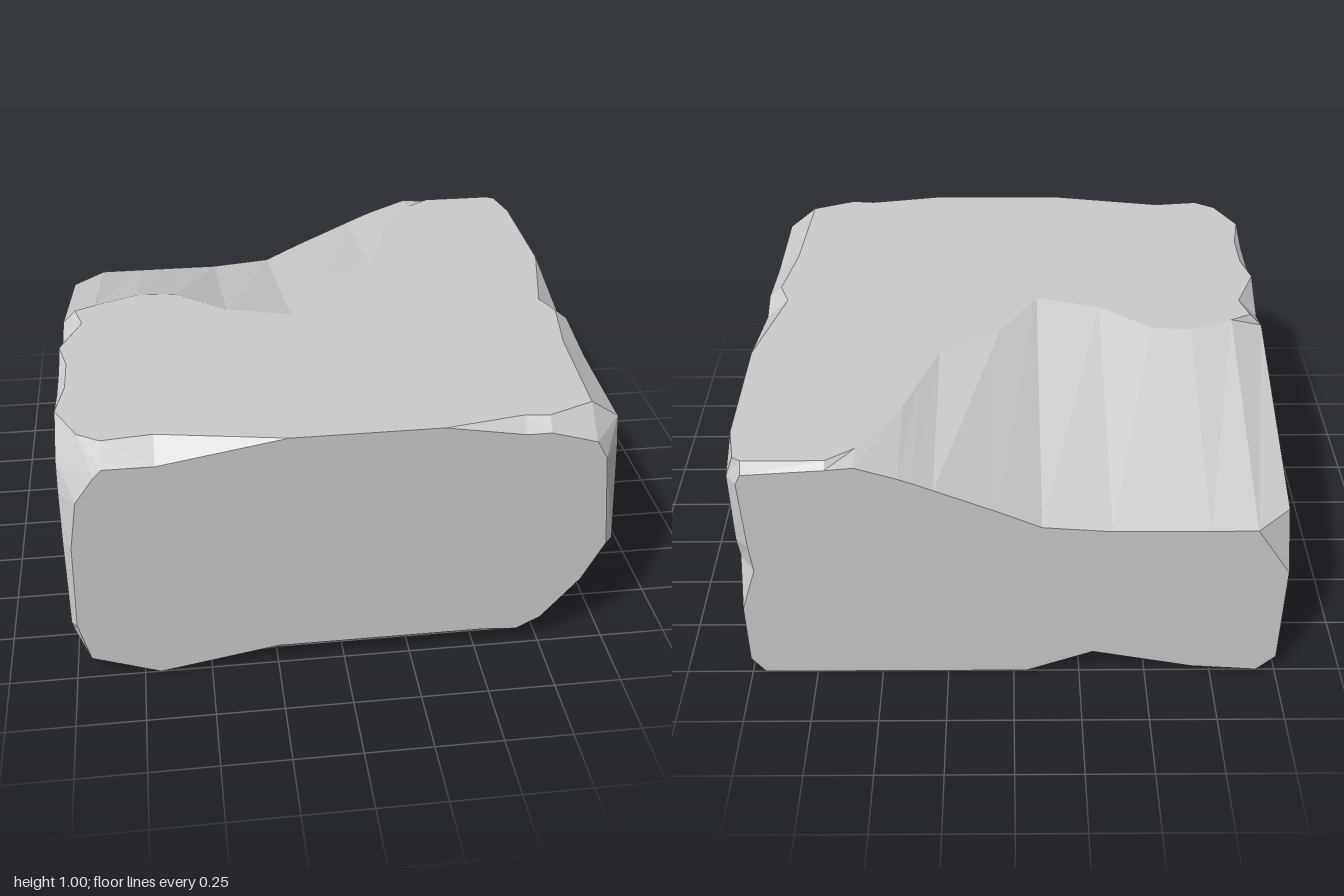
import * as THREE from 'three';

// The block is a 2 x 1 x 2 box whose twelve edges are chipped away unevenly.
const LO = [-1, 0, -1], HI = [1, 1, 1];

// Each edge joins two faces, named by axis and side (x0 = low x, x1 = high x).
// Sample: [position along edge, inset on first face, inset on second face,
//          position on second face if it differs].
const EDGES = {
  // edges along x
  y0z0: [[-.93, 0, 0], [-.68, .02, .02], [-.3, .1, .1], [-.05, 0, 0], [.95, 0, 0]],
  y0z1: [[-.9, .1, .09, -.94], [-.69, .03, 0], [-.25, .08, .08], [.53, .08, .08], [.66, .1, .07],
    [.68, .1, .12, .75], [.68, .1, .29, .89]],
  // broad broken slope across the top at the back
  y1z0: [[-.87, .93, .3], [-.7, .86, .3], [-.55, .87, .3], [-.35, 1.03, .3], [-.1, 1.1, .28], [.05, .85, .21],
    [.28, .7, .11], [.35, .5, .08], [.4, .35, .06], [.55, .1, .01], [.65, .03, .02], [.94, .03, .04]],
  y1z1: [[-.92, .11, .11, -.87], [-.84, .06, .08], [-.66, .08, .08], [-.2, 0, 0], [.34, 0, 0],
    [.63, .05, .05], [.72, .04, .05], [.89, .11, .1]],
  // upright edges
  x0z0: [[.07, 0, 0], [.5, 0, 0], [.7, .12, .13]],
  x0z1: [[.25, .02, .02], [.6, .04, .03], [.79, .07, .06]],
  x1z0: [[.07, 0, 0], [.33, 0, 0], [.52, .085, .06], [.63, .05, .05], [.92, .05, .04]],
  x1z1: [[.45, .03, .03], [.83, .1, .07]],
  // edges along z
  x0y0: [[-.93, 0, 0], [-.16, 0, 0], [.05, .06, .06], [.6, .06, .05], [.9, .15, .08]],
  x0y1: [[-.03, .05, .05], [.08, .08, .08], [.27, 0, 0], [.4, .03, .03], [.57, .03, .03], [.73, 0, 0], [.89, .1, .08]],
  // deep scoop under the front corner
  x1y0: [[-.93, 0, 0], [-.73, 0, 0], [-.48, .055, .06], [-.28, .08, .06], [-.11, .01, .01], [.07, .11, .185],
    [.35, .22, .3], [.6, .25, .35], [.82, .35, .33], [.97, .46, .32, .9]],
  x1y1: [[-.95, .08, .03], [-.8, 0, 0], [-.3, 0, 0], [.09, .08, .09], [.19, .04, .05], [.45, .07, .09], [.87, .08, .11]],
};

const AXES = 'xyz';
const edgeName = (a, b) => (a < b ? a + b : b + a);

// Chain of points an edge leaves on one of its two faces.
function chain(face, other) {
  const first = face < other;
  const f = AXES.indexOf(face[0]), o = AXES.indexOf(other[0]);
  return EDGES[edgeName(face, other)].map(([t, a, b, t2 = t]) => {
    const p = [0, 0, 0];
    const inset = first ? a : b;
    p[3 - f - o] = first ? t : t2;
    p[f] = face[1] === '1' ? HI[f] : LO[f];
    p[o] = other[1] === '1' ? HI[o] - inset : LO[o] + inset;
    return new THREE.Vector3(...p);
  });
}

// Soup of triangles, each turned to face away from the middle of the block.
function makeSoup() {
  const positions = [], middle = new THREE.Vector3(0, .5, 0);
  const tri = (a, b, c) => {
    const n = b.clone().sub(a).cross(c.clone().sub(a));
    if (n.length() < 1e-7) return;
    const out = a.clone().add(b).add(c).divideScalar(3).sub(middle);
    for (const p of n.dot(out) > 0 ? [a, b, c] : [a, c, b]) positions.push(p.x, p.y, p.z);
  };
  return { positions, tri };
}

function createMesh(name, build) {
  const { positions, tri } = makeSoup();
  build(tri);
  const geometry = new THREE.BufferGeometry();
  geometry.setAttribute('position', new THREE.Float32BufferAttribute(positions, 3));
  geometry.computeVertexNormals();
  const mesh = new THREE.Mesh(geometry, new THREE.MeshStandardMaterial({ color: 0xcccccc, flatShading: true }));
  mesh.name = name;
  return mesh;
}

// Flat face bounded by the chains of its four edges.
function flatFace(tri, face) {
  const [u, v] = [...AXES].filter((c) => c !== face[0]);
  const loop = [
    ...chain(face, v + '0'), ...chain(face, u + '1'),
    ...chain(face, v + '1').reverse(), ...chain(face, u + '0').reverse(),
  ];
  const flat = loop.map((p) => new THREE.Vector2(p[u], p[v]));
  for (const [a, b, c] of THREE.ShapeUtils.triangulateShape(flat, [])) tri(loop[a], loop[b], loop[c]);
}

// Chipped strip between two neighbouring faces.
function chippedEdge(tri, name) {
  const a = name.slice(0, 2), b = name.slice(2);
  const p = chain(a, b), q = chain(b, a);
  for (let i = 0; i + 1 < p.length; i++) {
    tri(p[i], p[i + 1], q[i + 1]);
    tri(p[i], q[i + 1], q[i]);
  }
}

// Broken corner closing the ends of three edges.
function brokenCorner(tri, x, y, z) {
  const end = (face, other) => {
    const third = [x, y, z].find((f) => f !== face && f !== other);
    return chain(face, other).at(third[1] === '1' ? -1 : 0);
  };
  const ring = [end(x, y), end(x, z), end(z, x), end(z, y), end(y, z), end(y, x)];
  for (let i = 1; i < 5; i++) tri(ring[0], ring[i], ring[i + 1]);
}

export function createModel() {
  const rock = new THREE.Group();
  rock.name = 'rockBlock';
  const faces = { rightFace: 'x0', leftFace: 'x1', underside: 'y0', topFace: 'y1', backFace: 'z0', frontFace: 'z1' };
  for (const [name, face] of Object.entries(faces)) {
    rock.add(createMesh(name, (tri) => flatFace(tri, face)));
  }
  rock.add(createMesh('chippedEdges', (tri) => Object.keys(EDGES).forEach((name) => chippedEdge(tri, name))));
  rock.add(createMesh('brokenCorners', (tri) => {
    for (const x of ['x0', 'x1']) for (const y of ['y0', 'y1']) for (const z of ['z0', 'z1']) brokenCorner(tri, x, y, z);
  }));
  return rock;
}
